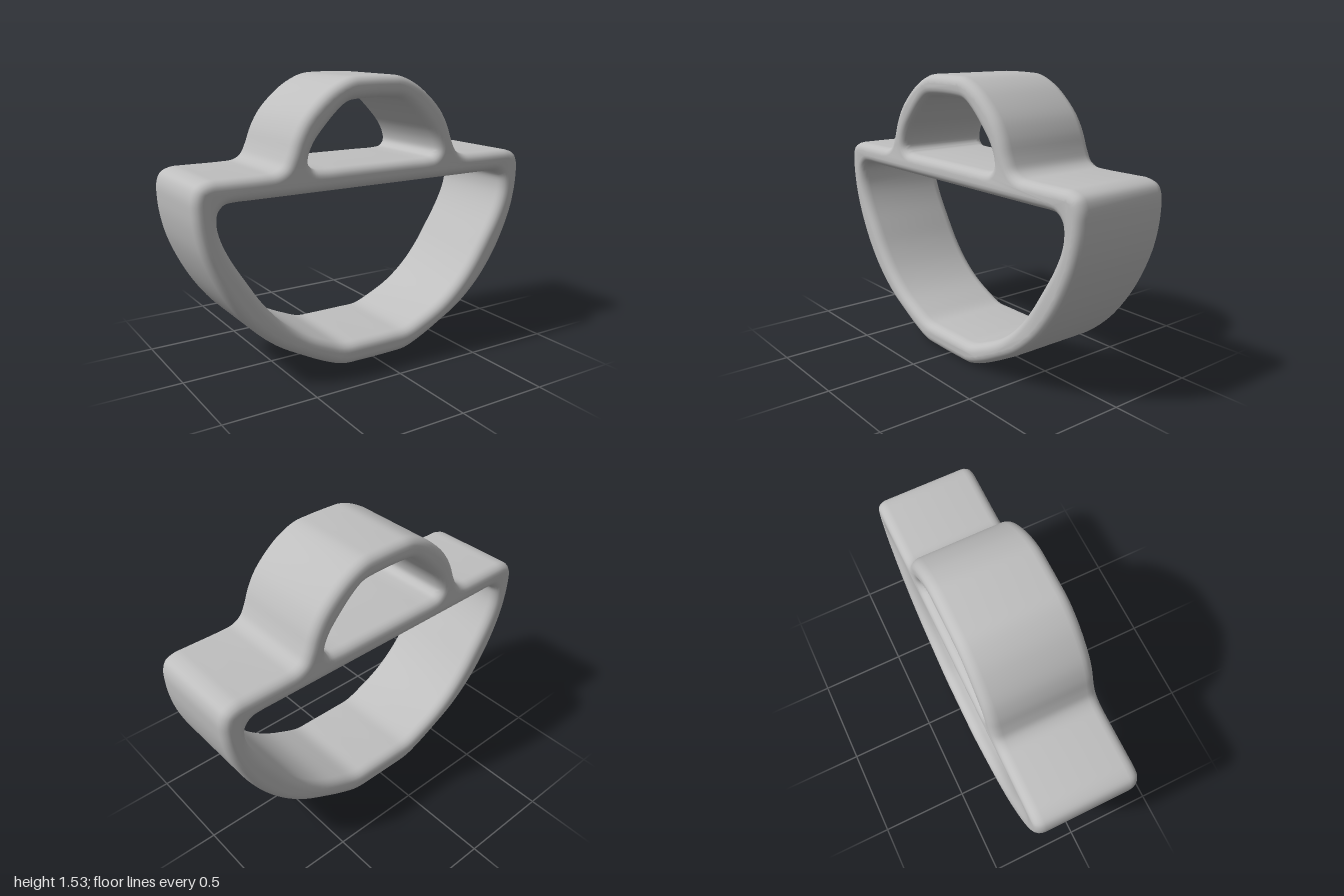
import * as THREE from 'three';
import { toCreasedNormals } from 'three/addons/utils/BufferGeometryUtils.js';

const DEPTH = 0.57, BEVEL = 0.045, BEVEL_DEPTH = 0.055;

// Mirrors a right-hand half profile (bottom to top) and smooths it into a closed loop
function symmetricLoop(half) {
  const left = half.map(([x, y]) => [-x, y]).reverse();
  const points = [...half, ...left].map(([x, y]) => new THREE.Vector3(x, y, 0));
  const curve = new THREE.CatmullRomCurve3(points, true, 'centripetal');
  return curve.getPoints(points.length * 4).slice(0, -1).map(p => new THREE.Vector2(p.x, p.y));
}

export function createModel() {
  const grey = new THREE.MeshStandardMaterial({ color: 0xbfbfbf });
  grey.name = 'light grey';

  // Outer silhouette: round bowl, flat shoulders, arched handle
  const outline = symmetricLoop([
    [0.1, 0], [0.2, 0.005], [0.31, 0.045], [0.44, 0.11], [0.58, 0.19], [0.71, 0.3],
    [0.81, 0.42], [0.89, 0.55], [0.96, 0.71], [0.99, 0.83], [1, 0.92], [0.998, 1.0],
    [0.975, 1.05], [0.92, 1.073], [0.85, 1.075], [0.65, 1.075], [0.58, 1.08],
    [0.535, 1.105], [0.505, 1.16], [0.47, 1.25], [0.415, 1.34], [0.31, 1.44],
    [0.23, 1.49], [0.15, 1.52], [0.07, 1.525],
  ]);

  // Large half-round opening under the crossbar
  const bowlOpening = symmetricLoop([
    [0.1, 0.12], [0.2, 0.123], [0.3, 0.16], [0.44, 0.23], [0.56, 0.325], [0.66, 0.44],
    [0.74, 0.56], [0.82, 0.69], [0.865, 0.79], [0.88, 0.86], [0.873, 0.92],
    [0.84, 0.953], [0.79, 0.96], [0.7, 0.96],
  ]);

  // Small opening inside the handle
  const handleOpening = symmetricLoop([
    [0.2, 1.075], [0.32, 1.075], [0.37, 1.083], [0.395, 1.11], [0.39, 1.155],
    [0.36, 1.215], [0.31, 1.275], [0.23, 1.355], [0.165, 1.4], [0.1, 1.41],
  ]);

  const shape = new THREE.Shape(outline);
  shape.holes.push(new THREE.Path(bowlOpening), new THREE.Path(handleOpening));

  // Extrude the frame with rounded rims on both faces
  const depth = DEPTH - 2 * BEVEL_DEPTH;
  const extruded = new THREE.ExtrudeGeometry(shape, {
    depth, steps: 1, bevelEnabled: true, bevelSegments: 5,
    bevelSize: BEVEL, bevelOffset: -BEVEL, bevelThickness: BEVEL_DEPTH,
  });
  extruded.translate(0, 0, -depth / 2);
  extruded.clearGroups();

  const frame = new THREE.Mesh(toCreasedNormals(extruded, 0.9), grey);
  frame.name = 'bowlFrameWithHandle';

  const model = new THREE.Group();
  model.name = 'halfRoundFrame';
  model.add(frame);
  return model;
}
